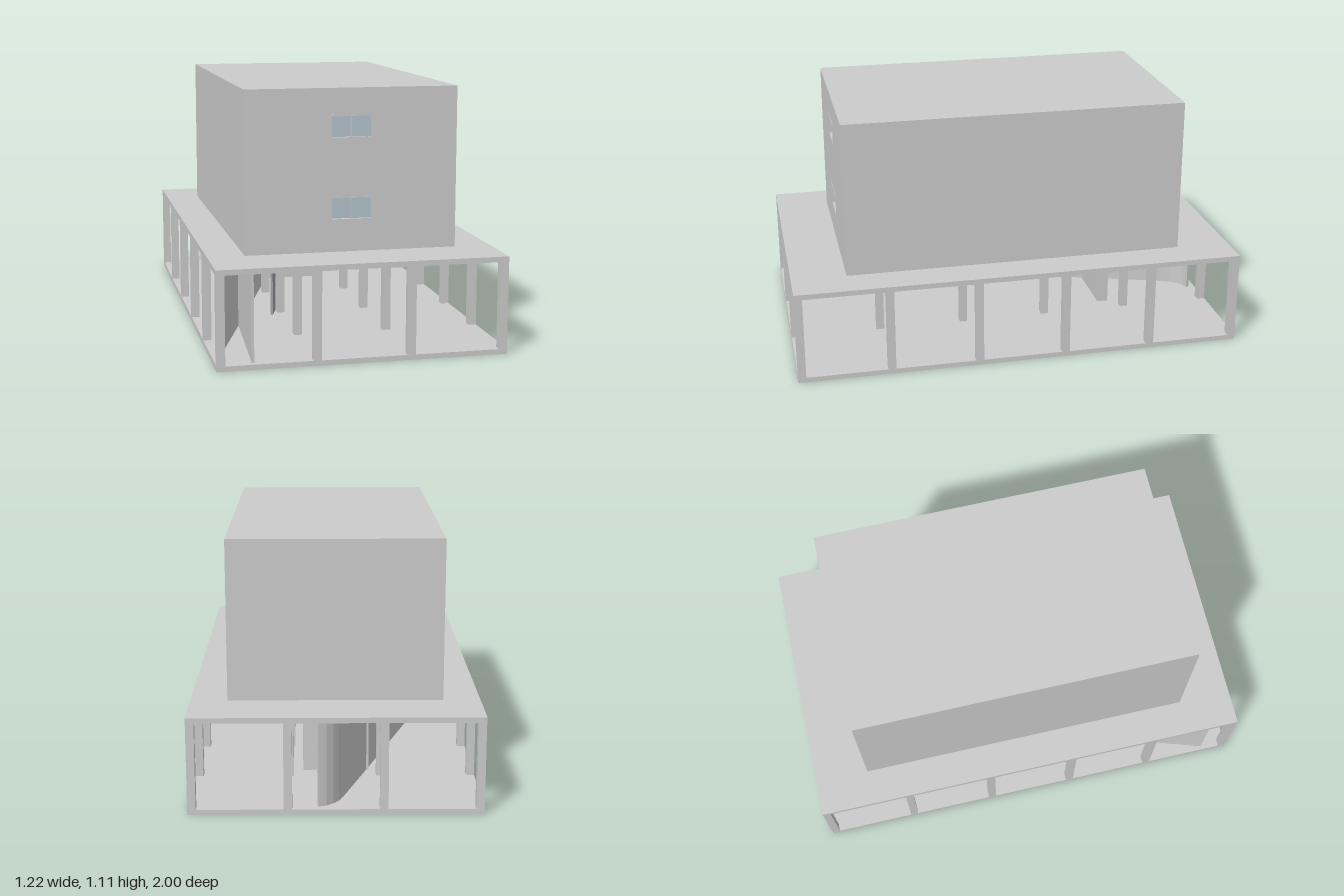
import * as THREE from 'three';

const grey = new THREE.MeshStandardMaterial({ color: 0xcccccc, flatShading: true });
const glassMat = new THREE.MeshStandardMaterial({ color: 0xb4c4ce });
const doorMat = new THREE.MeshStandardMaterial({ color: 0xa2a2a8 });

const FLOOR = 0.022, CEILING = 0.393;

export function createModel() {
  const model = new THREE.Group();

  // box given by its extents on each axis
  function box(parent, name, [x0, x1], [y0, y1], [z0, z1], mat = grey) {
    const mesh = new THREE.Mesh(new THREE.BoxGeometry(x1 - x0, y1 - y0, z1 - z0), mat);
    mesh.position.set((x0 + x1) / 2, (y0 + y1) / 2, (z0 + z1) / 2);
    mesh.name = name;
    parent.add(mesh);
    return mesh;
  }

  // upright wall following a plan path of [x, z] points
  function wall(name, path, thickness, y0, y1, mat = grey) {
    const side = (s) => path.map(([x, z], i) => {
      const [ax, az] = path[Math.max(i - 1, 0)];
      const [bx, bz] = path[Math.min(i + 1, path.length - 1)];
      const len = Math.hypot(bx - ax, bz - az);
      const o = (s * thickness) / 2 / len;
      return new THREE.Vector2(x - (bz - az) * o, -(z + (bx - ax) * o));
    });
    const shape = new THREE.Shape([...side(1), ...side(-1).reverse()]);
    const geo = new THREE.ExtrudeGeometry(shape, { depth: y1 - y0, bevelEnabled: false });
    geo.rotateX(-Math.PI / 2);
    const mesh = new THREE.Mesh(geo, mat);
    mesh.position.y = y0;
    mesh.name = name;
    model.add(mesh);
  }

  // ground slab and the slab over the open ground floor
  box(model, 'groundSlab', [-0.612, 0.612], [0, FLOOR], [-1, 1]);
  box(model, 'firstFloorSlab', [-0.612, 0.612], [CEILING, 0.416], [-1, 1]);

  // grid of columns, 4 by 6
  const columns = new THREE.Group();
  columns.name = 'columns';
  model.add(columns);
  const c = 0.0175;
  for (let i = 0; i < 4; i++) {
    for (let j = 0; j < 6; j++) {
      const x = -0.594 + i * 0.396, z = -0.982 + j * 0.3928;
      box(columns, 'column', [x - c, x + c], [FLOOR, CEILING], [z - c, z + c]);
    }
  }

  // long slanting partition, bending outward at the back
  wall('slantingPartition', [
    [-0.59, 0.88], [-0.42, 0.36], [-0.15, -0.48], [-0.025, -0.86],
    [-0.008, -0.9], [0.015, -0.93], [0.042, -0.952], [0.075, -0.965],
  ], 0.012, FLOOR, CEILING);
  // front partition joining the slanting one
  wall('frontPartition', [[-0.46, 0.975], [-0.42, 0.36]], 0.01, FLOOR, CEILING);
  // cross wall
  box(model, 'crossWall', [-0.15, 0.14], [FLOOR, CEILING], [-0.53, -0.48]);
  // door leaf and handle
  wall('door', [[-0.248, 0.25], [-0.216, 0.15]], 0.01, FLOOR, 0.287, doorMat);
  box(model, 'doorHandle', [-0.228, -0.208], [0.14, 0.15], [0.162, 0.17], doorMat);

  // two upper storeys, each with a recessed front window, topped by a slab
  const W = 0.455, D = 0.758, RECESS = 0.02;
  for (const base of [0.416, 0.76]) {
    const top = base === 0.416 ? 0.74 : 1.085;
    const w0 = base + 0.132, w1 = base + 0.234, w = 0.092;
    const storey = new THREE.Group();
    storey.name = 'storey';
    model.add(storey);
    box(storey, 'storeyBody', [-W, W], [base, top], [-D, D - RECESS]);

    // front wall with window opening
    const front = new THREE.Shape([[-W, base], [W, base], [W, top], [-W, top]].map((p) => new THREE.Vector2(...p)));
    front.holes.push(new THREE.Path([[-w, w0], [-w, w1], [w, w1], [w, w0]].map((p) => new THREE.Vector2(...p))));
    const frontWall = new THREE.Mesh(new THREE.ExtrudeGeometry(front, { depth: RECESS, bevelEnabled: false }), grey);
    frontWall.position.z = D - RECESS;
    frontWall.name = 'frontWall';
    storey.add(frontWall);

    // frame, centre bar and two panes
    const t = 0.007, z = [D - RECESS, D + 0.002];
    box(storey, 'windowFrame', [-w, w], [w0, w0 + t], z);
    box(storey, 'windowFrame', [-w, w], [w1 - t, w1], z);
    for (const s of [-1, 1]) {
      box(storey, 'windowFrame', [s * (w - t / 2) - t / 2, s * (w - t / 2) + t / 2], [w0, w1], z);
      box(storey, 'windowPane', [s * 0.0425 - 0.0425, s * 0.0425 + 0.0425], [w0 + t, w1 - t],
        [D - RECESS, D - 0.014 + s * 0.002], glassMat);
    }
    box(storey, 'windowBar', [-0.002, 0.002], [w0 + t, w1 - t], [D - RECESS, D - 0.008]);
    box(storey, 'storeySlab', [-W, W], [top, top + 0.02], [-D, D]);
  }

  return model;
}
